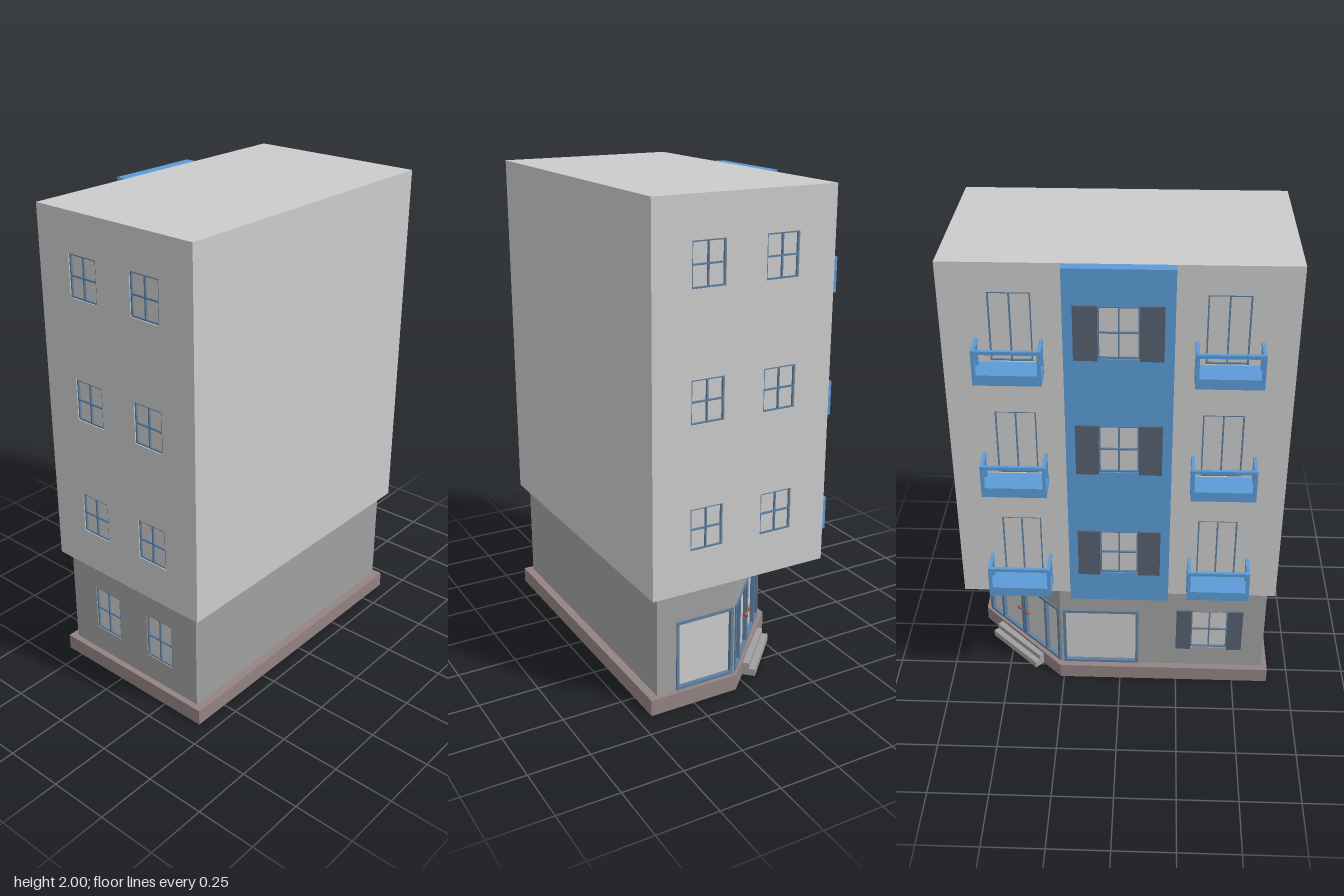
import * as THREE from 'three';

const paint = (color) => new THREE.MeshStandardMaterial({ color });
const GREY = paint(0xcccccc), STONE = paint(0xa0a0a0), PLINTH = paint(0x948383), BLUE = paint(0x5b9bd6),
  FRAME = paint(0x5f7f9f), GLASS = paint(0xdddddd), SHUTTER = paint(0x55606f), RED = paint(0xc84a3a);

function box(parent, name, mat, w, h, d, x, y, z) {
  const m = new THREE.Mesh(new THREE.BoxGeometry(w, h, d), mat);
  m.name = name;
  m.position.set(x, y, z);
  parent.add(m);
  return m;
}

function rect(path, x0, y0, x1, y1) {
  path.moveTo(x0, y0);
  path.lineTo(x1, y0);
  path.lineTo(x1, y1);
  path.lineTo(x0, y1);
  path.closePath();
  return path;
}

// Frame, glazing bars and glass set back in an opening; cols and rows are split fractions
function glazing(parent, o) {
  const g = new THREE.Group();
  g.name = o.name ?? 'window';
  g.position.set(o.u, o.v, 0);
  const b = o.bar ?? 0.006, front = o.front ?? -0.004, back = -0.014;
  box(g, 'glass', GLASS, o.w, o.h, 0.004, 0, 0, back);
  const d = front - back, z = (front + back) / 2;
  for (const f of [0, ...(o.cols ?? [0.5]), 1])
    box(g, 'uprightBar', FRAME, b, o.h, d, (f - 0.5) * (o.w - b), 0, z);
  for (const f of [0, ...(o.rows ?? [0.5]), 1])
    box(g, 'crossBar', FRAME, o.w, b, d, 0, (f - 0.5) * (o.h - b), z);
  if (o.shutter) for (const s of [-1, 1])
    box(g, 'shutter', SHUTTER, o.shutter, o.h + 0.01, 0.008, s * (o.w + o.shutter) / 2, 0, 0.004);
  parent.add(g);
}

// Wall from a to b (left to right seen from outside) with glazed openings
function wall(parent, name, mat, a, b, y0, y1, openings = [], t = 0.02) {
  const dx = b[0] - a[0], dz = b[1] - a[1], len = Math.hypot(dx, dz);
  const g = new THREE.Group();
  g.name = name;
  g.position.set(a[0], 0, a[1]);
  g.rotation.y = Math.atan2(-dz, dx);
  const shape = rect(new THREE.Shape(), 0, y0, len, y1);
  for (const o of openings) {
    shape.holes.push(rect(new THREE.Path(), o.u - o.w / 2, o.v - o.h / 2, o.u + o.w / 2, o.v + o.h / 2));
    glazing(g, o);
  }
  const m = new THREE.Mesh(new THREE.ExtrudeGeometry(shape, { depth: t, bevelEnabled: false }), mat);
  m.name = name + 'Panel';
  m.position.z = -t;
  g.add(m);
  parent.add(g);
  return g;
}

// Balcony centred on x, floor slab bottom at y
function balcony(parent, x, y) {
  const g = new THREE.Group();
  g.name = 'balcony';
  g.position.set(x, y, 0);
  const w = 0.255, z0 = -0.33, z1 = -0.438, r = 0.014;
  box(g, 'balconyFloor', BLUE, w, 0.042, z0 - z1, 0, 0.021, (z0 + z1) / 2);
  box(g, 'frontRail', BLUE, w, r, r, 0, 0.14 - r / 2, z1 + r / 2);
  for (const s of [-1, 1]) {
    const px = s * (w - r) / 2;
    box(g, 'sideRail', BLUE, r, r, z0 - z1, px, 0.14 - r / 2, (z0 + z1) / 2);
    box(g, 'frontPost', BLUE, r, 0.14, r, px, 0.07, z1 + r / 2);
    box(g, 'wallPost', BLUE, r, 0.14, r, px, 0.07, z0 - 0.024);
  }
  parent.add(g);
}

export function createModel() {
  const root = new THREE.Group();
  root.name = 'cornerBuilding';
  const floors = [0.5, 1, 1.5];

  // Upper storeys
  const upper = new THREE.Group();
  upper.name = 'upperStoreys';
  root.add(upper);
  const X = 0.66, F = 0.44, B = -0.33;
  const sideWindows = floors.flatMap((y) => [0.23, 0.54].map((u) => ({ u, v: y + 0.255, w: 0.14, h: 0.17 })));
  const balconyDoors = floors.flatMap((y) => [0.26, 1.06].map((u) => (
    { name: 'balconyDoor', u, v: y + 0.245, w: 0.16, h: 0.28, rows: [] })));
  wall(upper, 'frontWall', GREY, [-X, F], [X, F], 0.5, 2);
  wall(upper, 'leftWall', GREY, [X, F], [X, B], 0.5, 2, sideWindows);
  wall(upper, 'backWall', GREY, [X, B], [-X, B], 0.5, 2, balconyDoors);
  wall(upper, 'rightWall', GREY, [-X, B], [-X, F], 0.5, 2, sideWindows);
  for (const [name, y] of [['roof', 1.99], ['overhangFloor', 0.51]])
    box(upper, name, GREY, 2 * X, 0.02, F - B, 0, y, (F + B) / 2);

  // Blue bay with shuttered windows
  wall(root, 'blueBay', BLUE, [0.205, -0.376], [-0.205, -0.376], 0.5, 2, floors.map((y) => (
    { u: 0.205, v: y + 0.25, w: 0.155, h: 0.21, shutter: 0.09 })), 0.046);

  // Balconies
  for (const y of floors) for (const s of [-1, 1]) balcony(root, s * 0.408, y + 0.06);

  // Plinth with cut corner
  const outline = [[-0.655, 0.44], [0.645, 0.44], [0.645, 0.055], [0.265, -0.325], [-0.655, -0.325]];
  const plinth = new THREE.Mesh(new THREE.ExtrudeGeometry(
    new THREE.Shape(outline.map(([x, z]) => new THREE.Vector2(x, -z))), { depth: 0.067, bevelEnabled: false }), PLINTH);
  plinth.name = 'plinth';
  plinth.rotation.x = -Math.PI / 2;
  root.add(plinth);

  // Ground floor walls
  const ground = new THREE.Group();
  ground.name = 'groundFloor';
  root.add(ground);
  const P = [[-0.63, 0.405], [0.625, 0.405], [0.625, 0.055], [0.26, -0.295], [-0.63, -0.295]];
  const shop = { name: 'shopWindow', v: 0.217, h: 0.297, bar: 0.012, front: 0.005, cols: [], rows: [] };
  wall(ground, 'groundFront', STONE, P[0], P[1], 0.05, 0.5);
  wall(ground, 'groundLeft', STONE, P[1], P[2], 0.05, 0.5, [{ ...shop, u: 0.214, w: 0.258 }]);
  const entrance = wall(ground, 'entranceWall', STONE, P[2], P[3], 0.05, 0.5,
    [{ ...shop, name: 'entranceGlazing', u: 0.253, w: 0.49, cols: [0.18, 0.485, 0.515, 0.82] }]);
  wall(ground, 'groundBack', STONE, P[3], P[4], 0.05, 0.5, [
    { ...shop, u: 0.175, w: 0.33 }, { u: 0.65, v: 0.27, w: 0.16, h: 0.205, shutter: 0.064 }]);
  wall(ground, 'groundRight', STONE, P[4], P[0], 0.05, 0.5,
    [0.205, 0.5].map((u) => ({ u, v: 0.28, w: 0.14, h: 0.2 })));

  // Door knobs, blank sign plate and entrance steps
  for (const s of [-1, 1]) {
    const knob = new THREE.Mesh(new THREE.SphereGeometry(0.01, 12, 8), RED);
    knob.name = 'doorKnob';
    knob.position.set(0.253 + s * 0.027, 0.21, 0.004);
    entrance.add(knob);
  }
  box(entrance, 'signPlate', RED, 0.1, 0.03, 0.006, 0.253, 0.445, 0.003);
  box(entrance, 'upperStep', STONE, 0.3, 0.025, 0.05, 0.253, 0.0425, 0.02);
  box(entrance, 'lowerStep', STONE, 0.3, 0.03, 0.075, 0.253, 0.015, 0.0325);
  return root;
}
